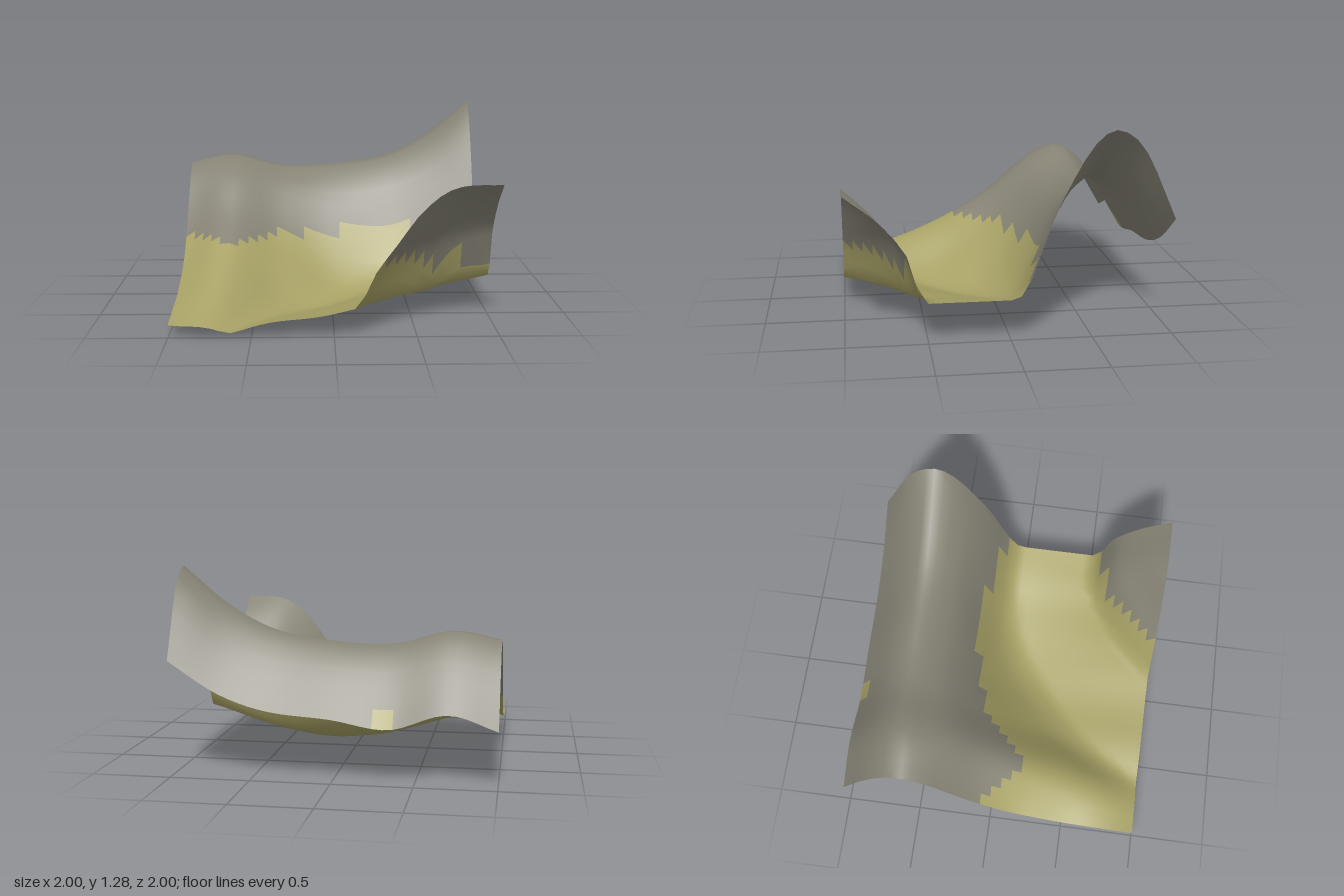
import * as THREE from 'three';

const N = 32; // quads per side
const ROCK_LINE = 0.405; // quads higher than this are rock

// Smooth curve through points (xs, ys), flat-continued past the ends
function curve(xs, ys, x) {
  const n = xs.length - 1;
  if (x <= xs[0]) return ys[0];
  if (x >= xs[n]) return ys[n];
  let i = 0;
  while (x > xs[i + 1]) i++;
  const slope = (k) => {
    const a = Math.max(k - 1, 0), b = Math.min(k + 1, n);
    return (ys[b] - ys[a]) / (xs[b] - xs[a]);
  };
  const w = xs[i + 1] - xs[i], t = (x - xs[i]) / w, t2 = t * t, t3 = t2 * t;
  return (2 * t3 - 3 * t2 + 1) * ys[i] + (t3 - 2 * t2 + t) * w * slope(i)
    + (3 * t2 - 2 * t3) * ys[i + 1] + (t3 - t2) * w * slope(i + 1);
}

// Maximum with a rounded crease of width k
function softMax(a, b, k) {
  const h = Math.max(k - Math.abs(a - b), 0) / k;
  return Math.max(a, b) + h * h * k / 4;
}

// Back ridge and its front slope: height profiles along z at several x
const SLOPE_Z = [-1, -0.8, -0.63, -0.5, -0.375, -0.25, -0.125, 0, 0.125, 0.25, 0.5, 0.75, 1];
const SLOPE_X = [-1, -0.7, -0.35, 0, 0.4, 0.7, 1];
const SLOPES = [
  [0.36, 0.69, 0.84, 0.82, 0.73, 0.59, 0.45, 0.345, 0.26, 0.21, 0.14, 0.11, 0.085],
  [0.45, 0.75, 0.895, 0.87, 0.81, 0.72, 0.61, 0.52, 0.445, 0.37, 0.25, 0.14, 0.03],
  [0.35, 0.68, 0.815, 0.78, 0.71, 0.58, 0.44, 0.32, 0.225, 0.14, 0, -0.15, -0.3],
  [0.40, 0.70, 0.82, 0.76, 0.65, 0.47, 0.27, 0.13, 0.04, -0.03, -0.2, -0.3, -0.4],
  [0.44, 0.74, 0.885, 0.82, 0.68, 0.43, 0.19, 0.05, -0.1, -0.2, -0.3, -0.4, -0.5],
  [0.54, 0.88, 1.035, 0.96, 0.80, 0.55, 0.25, 0.06, -0.1, -0.2, -0.3, -0.4, -0.5],
  [0.73, 1.16, 1.28, 1.20, 1.00, 0.74, 0.39, 0.13, -0.1, -0.2, -0.3, -0.4, -0.5],
];
function slopeHeight(x, z) {
  return curve(SLOPE_X, SLOPES.map((p) => curve(SLOPE_Z, p, z)), x);
}

// Valley floor, rising from a winding trough towards the front
function floorHeight(x, z) {
  const low = curve([-1, -0.7, -0.4, -0.1, 0.2, 0.4, 0.6, 0.8, 1],
    [0, 0.02, 0.025, 0, 0.035, 0.08, 0.135, 0.205, 0.26], x);
  const trough = curve([-0.65, -0.4, -0.1, 0.4, 1], [1, 0.65, 0.35, 0.1, 0], x);
  const fade = 1 - THREE.MathUtils.smoothstep(x, 0.1, 1);
  return low + 0.2 * Math.max(0, z - trough) * fade;
}

// Front corner hill with a steep foot
function hillHeight(x, z) {
  const foot = curve([-0.2, 0.25, 0.4, 0.55, 0.75, 1], [1.6, 1, 0.84, 0.72, 0.605, 0.58], x);
  const t = z - foot;
  const gentle = t < 0 ? 0.4 + 1.7 * t
    : curve([0, 0.16, 0.28, 0.36, 0.42], [0.4, 0.58, 0.78, 0.9, 0.96], t);
  const steep = t < 0 ? 0.4 + 3 * t
    : curve([0, 0.05, 0.125, 0.225, 0.42], [0.4, 0.57, 0.67, 0.78, 0.93], t);
  return THREE.MathUtils.lerp(gentle, steep, THREE.MathUtils.clamp((x - 0.25) / 0.75, 0, 1));
}

function height(x, z) {
  const land = softMax(slopeHeight(x, z), floorHeight(x, z), 0.1);
  return softMax(land, hillHeight(x, z), 0.05);
}

export function createModel() {
  const grass = new THREE.MeshStandardMaterial({ color: 0xa8a266, side: THREE.DoubleSide });
  grass.name = 'dry grass';
  const rock = new THREE.MeshStandardMaterial({ color: 0x868375, side: THREE.DoubleSide });
  rock.name = 'grey rock';

  // Grid of vertices lifted by the height rule
  const positions = [];
  for (let j = 0; j <= N; j++) {
    for (let i = 0; i <= N; i++) {
      const x = -1 + 2 * i / N, z = -1 + 2 * j / N;
      positions.push(x, height(x, z), z);
    }
  }
  let lowest = Infinity;
  for (let k = 1; k < positions.length; k += 3) lowest = Math.min(lowest, positions[k]);
  for (let k = 1; k < positions.length; k += 3) positions[k] -= lowest;

  // Quads sorted into grass and rock by their mean height
  const low = [], high = [];
  for (let j = 0; j < N; j++) {
    for (let i = 0; i < N; i++) {
      const a = j * (N + 1) + i, b = a + 1, c = a + N + 1, d = c + 1;
      const mean = [a, b, c, d].reduce((s, v) => s + positions[v * 3 + 1], 0) / 4;
      (mean > ROCK_LINE ? high : low).push(a, c, b, b, c, d);
    }
  }

  const geometry = new THREE.BufferGeometry();
  geometry.setAttribute('position', new THREE.Float32BufferAttribute(positions, 3));
  geometry.setIndex([...low, ...high]);
  geometry.addGroup(0, low.length, 0);
  geometry.addGroup(low.length, high.length, 1);
  geometry.computeVertexNormals();

  const terrain = new THREE.Mesh(geometry, [grass, rock]);
  terrain.name = 'terrain';
  const group = new THREE.Group();
  group.name = 'hillyLandscape';
  group.add(terrain);
  return group;
}
